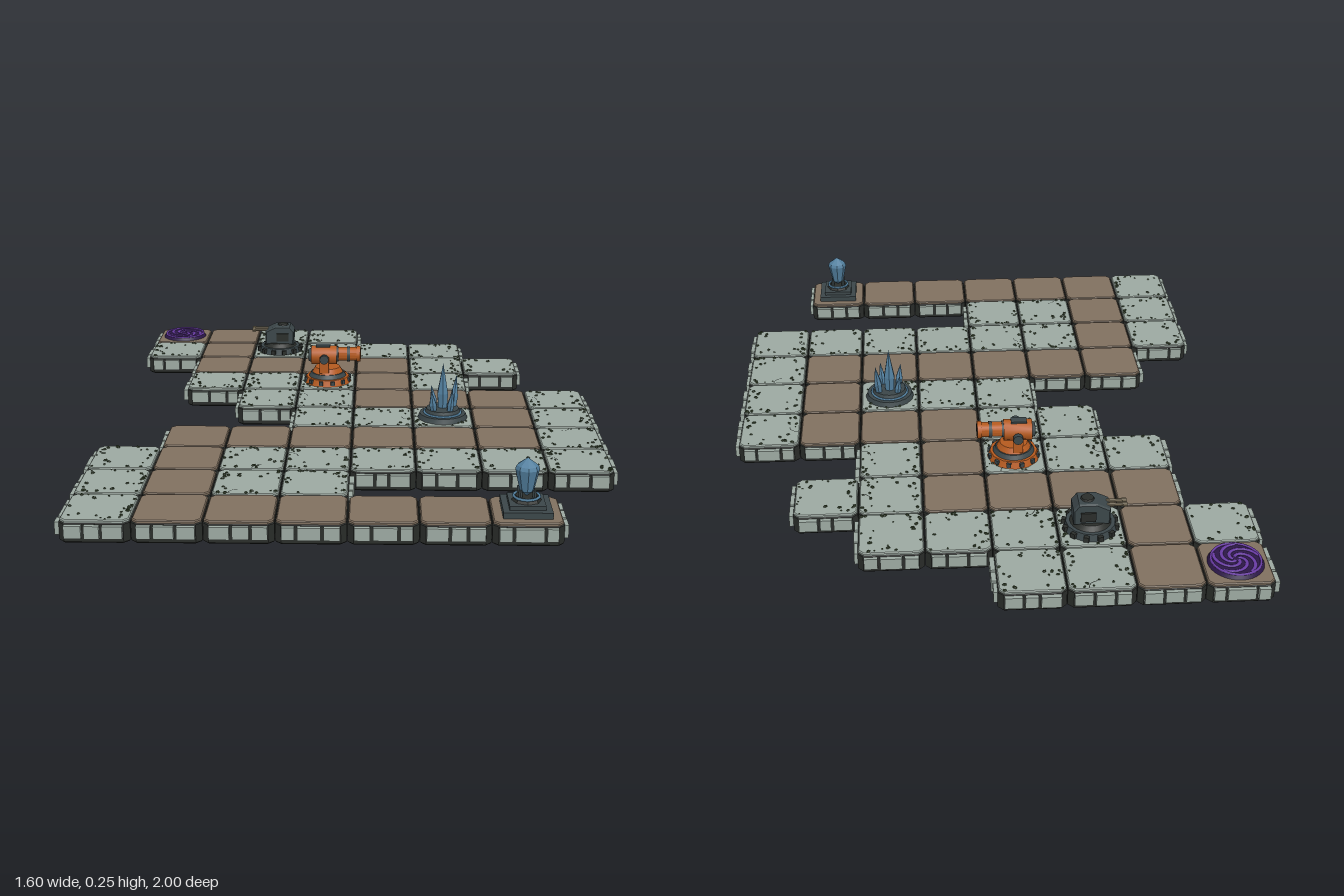
import * as THREE from 'three';
import { mergeGeometries, toCreasedNormals } from 'three/addons/utils/BufferGeometryUtils.js';

const P = 0.197, TOP = 0.067;
// s = stone tile, p = path tile, rows run from back to front
const MAP = ['ppss....', 'spssss..', '.ppppss.', '.sssps..', '..ssppps',
  '...sssps', '.pppppps', 'spssssss', 'spss....', 'spppppp.'];

const COLORS = {
  stone: 0x9ca9a1, path: 0x80705f, darkStone: 0x2a2d2a, moss: 0x35452a, metal: 0x3b4649,
  orange: 0xb55a1f, brass: 0x857960, crystal: 0x527f9e, purple: 0x6a3ca6, deepPurple: 0x2b1746,
};
const M = {};

let seed = 7;
const rnd = () => (seed = (seed * 16807) % 2147483647) / 2147483647;

function add(parent, name, geo, mat, x = 0, y = 0, z = 0) {
  const mesh = new THREE.Mesh(geo, mat);
  mesh.name = name;
  mesh.position.set(x, y, z);
  parent.add(mesh);
  return mesh;
}

const box = (w, h, d) => new THREE.BoxGeometry(w, h, d);

// Cylinder standing on its origin, with sharp edges
function drum(rTop, rBottom, h, sides = 24) {
  return toCreasedNormals(new THREE.CylinderGeometry(rTop, rBottom, h, sides).translate(0, h / 2, 0), 0.6);
}

// Cylinder lying along x, centred
function pipe(r, len, sides = 16, r2 = r) {
  return toCreasedNormals(new THREE.CylinderGeometry(r, r2, len, sides).rotateZ(-Math.PI / 2), 0.6);
}

// Square slab with chamfered corners and an optional bevel
function slab(half, cut, h, bevel) {
  const a = half - bevel, b = a - cut;
  const s = new THREE.Shape([[b, -a], [a, -b], [a, b], [b, a], [-b, a], [-a, b], [-a, -b], [-b, -a]]
    .map(([x, y]) => new THREE.Vector2(x, y)));
  const g = new THREE.ExtrudeGeometry(s, { depth: h - 2 * bevel, bevelEnabled: bevel > 0,
    bevelSize: bevel, bevelThickness: bevel, bevelSegments: 1 });
  return g.rotateX(-Math.PI / 2).translate(0, bevel, 0);
}

// Pointed facetted crystal from [radius, height] rings
function shard(rings, sides = 6) {
  const g = new THREE.LatheGeometry(rings.map(([r, y]) => new THREE.Vector2(r, y)), sides).toNonIndexed();
  g.computeVertexNormals();
  return g;
}

// Ring of equal parts around the vertical axis
function ring(geo, n, radius, y) {
  return mergeGeometries(Array.from({ length: n }, (_, i) =>
    geo.clone().translate(radius, y, 0).rotateY((i + 0.5) / n * Math.PI * 2)));
}

const at = (c, r) => [(c - 3.5) * P, (r - 4.5) * P];
const tile = (c, r) => (MAP[r] && MAP[r][c]) || '.';

function buildGround(g) {
  const bases = [], tops = { s: [], p: [] }, bricks = [], moss = [], cracks = [];
  const base = slab(0.0978, 0.014, 0.06, 0.004), top = slab(0.0955, 0.014, 0.012, 0.003);
  for (let r = 0; r < 10; r++) for (let c = 0; c < 8; c++) {
    const kind = tile(c, r);
    if (kind === '.') continue;
    const [x, z] = at(c, r);
    bases.push(base.clone().translate(x, 0, z));
    tops[kind].push(top.clone().translate(x, TOP - 0.012, z));
    // Bricks on open sides
    [[0, 1], [1, 0], [0, -1], [-1, 0]].forEach(([dx, dz], k) => {
      if (tile(c + dx, r + dz) !== '.') return;
      const cuts = [-0.084, -0.03 + (rnd() - 0.5) * 0.03, 0.03 + (rnd() - 0.5) * 0.03, 0.084];
      for (let i = 0; i < 3; i++) {
        const w = cuts[i + 1] - cuts[i] - 0.008, out = 0.012 + rnd() * 0.005;
        bricks.push(box(w, 0.037, out).translate((cuts[i] + cuts[i + 1]) / 2, 0.036, 0.096 + out / 2)
          .rotateY(k * Math.PI / 2).translate(x, 0, z));
      }
    });
    if (kind !== 's') continue;
    // Moss tufts clustered near the tile rim
    for (let i = 0; i < 24; i++) {
      const side = Math.floor(rnd() * 4) * Math.PI / 2, size = 0.0025 + rnd() * 0.004;
      const tuft = new THREE.IcosahedronGeometry(size, 0).scale(1.2, 0.9, 0.9).rotateY(rnd() * 3);
      moss.push(tuft.translate((rnd() - 0.5) * 0.17, TOP, 0.089 - rnd() * rnd() * 0.06)
        .rotateY(side).translate(x, 0, z));
    }
    // Curved crack on some tiles
    if (rnd() < 0.55) {
      const arc = new THREE.RingGeometry(0.026, 0.0285, 10, 1, 0, 1.6).rotateX(-Math.PI / 2);
      cracks.push(arc.translate(-0.09, TOP + 0.001, (rnd() - 0.5) * 0.06)
        .rotateY(Math.floor(rnd() * 4) * Math.PI / 2).translate(x, 0, z));
    }
  }
  add(g, 'tileBases', mergeGeometries(bases), M.darkStone);
  add(g, 'stoneTops', mergeGeometries(tops.s), M.stone);
  add(g, 'pathTops', mergeGeometries(tops.p), M.path);
  add(g, 'edgeBricks', mergeGeometries(bricks), M.stone);
  add(g, 'mossTufts', mergeGeometries(moss), M.moss);
  add(g, 'cracks', mergeGeometries(cracks), M.darkStone);
}

function station(g, name, c, r) {
  const s = new THREE.Group(), [x, z] = at(c, r);
  s.name = name;
  s.position.set(x, TOP, z);
  g.add(s);
  return s;
}

function buildPortal(s) {
  add(s, 'portalRim', drum(0.074, 0.082, 0.012, 32), M.deepPurple);
  const arms = [];
  for (let k = 0; k < 5; k++) {
    const pts = Array.from({ length: 12 }, (_, i) => {
      const a = k / 5 * Math.PI * 2 + i * 0.27, rad = 0.008 + i * 0.0055;
      return new THREE.Vector3(Math.cos(a) * rad, 0, Math.sin(a) * rad);
    });
    arms.push(new THREE.TubeGeometry(new THREE.CatmullRomCurve3(pts), 30, 0.0055, 6).scale(1, 0.5, 1));
  }
  add(s, 'portalSwirl', mergeGeometries(arms), M.purple, 0, 0.012, 0);
  add(s, 'portalRing', new THREE.TorusGeometry(0.072, 0.004, 6, 36).rotateX(Math.PI / 2), M.purple, 0, 0.012, 0);
}

function buildTurret(s) {
  add(s, 'turretBase', drum(0.074, 0.08, 0.022, 16), M.metal);
  add(s, 'turretBolts', ring(box(0.014, 0.016, 0.016), 12, 0.079, 0.01), M.darkStone);
  add(s, 'turretCollar', drum(0.05, 0.062, 0.014), M.darkStone, 0, 0.022, 0);
  // Angular armoured body with sloped roof edges
  const profile = new THREE.Shape([[-0.05, 0], [0.05, 0], [0.052, 0.045], [0.038, 0.063], [-0.014, 0.063], [-0.05, 0.045]]
    .map(([x, y]) => new THREE.Vector2(x, y)));
  const body = new THREE.ExtrudeGeometry(profile, { depth: 0.06, bevelSize: 0.004, bevelThickness: 0.006, bevelSegments: 1 });
  add(s, 'turretBody', body.translate(0, 0, -0.03), M.metal, 0, 0.034, 0);
  add(s, 'turretHatch', drum(0.018, 0.022, 0.008, 12), M.darkStone, 0.012, 0.098, 0);
  for (const d of [-1, 1]) {
    add(s, 'sidePlate', box(0.045, 0.03, 0.008), M.darkStone, 0.012, 0.06, d * 0.038);
    add(s, 'gunBarrel', pipe(0.006, 0.06, 10), M.brass, -0.075, 0.083, d * 0.01);
    add(s, 'barrelTip', pipe(0.008, 0.012, 10), M.brass, -0.098, 0.083, d * 0.01);
  }
}

function buildCannon(s) {
  add(s, 'cannonBase', drum(0.076, 0.084, 0.022, 12), M.orange);
  add(s, 'cannonBolts', ring(box(0.008, 0.014, 0.014), 12, 0.08, 0.012), M.metal);
  add(s, 'cannonCollar', drum(0.058, 0.066, 0.014), M.metal, 0, 0.022, 0);
  add(s, 'cannonPedestal', drum(0.044, 0.054, 0.018), M.orange, 0, 0.036, 0);
  add(s, 'cannonBody', pipe(0.034, 0.09, 12), M.orange, -0.012, 0.096, 0);
  add(s, 'cannonBreech', pipe(0.022, 0.014, 12, 0.028), M.metal, -0.06, 0.096, 0).rotation.y = Math.PI;
  add(s, 'cannonBarrel', pipe(0.024, 0.085), M.orange, 0.07, 0.1, 0);
  for (const x of [0.034, 0.075]) add(s, 'barrelBand', pipe(0.027, 0.01), M.metal, x, 0.1, 0);
  add(s, 'muzzle', pipe(0.028, 0.014), M.orange, 0.11, 0.1, 0);
  add(s, 'muzzleBore', pipe(0.02, 0.004), M.darkStone, 0.1165, 0.1, 0);
  add(s, 'bodyTopPlate', box(0.05, 0.006, 0.03), M.metal, -0.015, 0.13, 0);
  for (const d of [-1, 1]) {
    add(s, 'cradleArm', box(0.032, 0.055, 0.012), M.orange, -0.01, 0.07, d * 0.048);
    add(s, 'pivot', pipe(0.016, 0.016, 12).rotateY(Math.PI / 2), M.metal, -0.01, 0.094, d * 0.054);
  }
}

function buildCrystalTower(s) {
  add(s, 'clusterBase', drum(0.076, 0.082, 0.016, 16), M.metal);
  add(s, 'clusterStep', drum(0.054, 0.06, 0.016, 16), M.metal, 0, 0.016, 0);
  add(s, 'clusterRing', new THREE.TorusGeometry(0.06, 0.004, 6, 24).rotateX(Math.PI / 2), M.crystal, 0, 0.018, 0);
  // x, z, height, radius, lean x, lean z
  [[0, -0.008, 0.158, 0.02, 0, 0], [-0.03, 0.026, 0.08, 0.013, -0.12, 0.15], [0.035, -0.022, 0.112, 0.014, 0.1, -0.13],
    [0.022, 0.03, 0.085, 0.012, 0.1, 0.14], [-0.026, -0.03, 0.075, 0.012, -0.14, -0.12]].forEach(([x, z, h, r, lx, lz]) => {
    const m = add(s, 'crystalShard', shard([[r * 0.8, 0], [r, h * 0.35], [0, h]]), M.crystal, x, 0.025, z);
    m.rotation.set(lz, 0, -lx);
  });
}

function buildGoal(s) {
  add(s, 'plinth', box(0.136, 0.018, 0.136), M.metal, 0, 0.009, 0);
  add(s, 'plinthStep', box(0.1, 0.012, 0.1), M.metal, 0, 0.024, 0);
  add(s, 'pedestal', drum(0.032, 0.042, 0.014, 8), M.darkStone, 0, 0.03, 0);
  add(s, 'pedestalRing', new THREE.TorusGeometry(0.036, 0.004, 6, 16).rotateX(Math.PI / 2), M.crystal, 0, 0.042, 0);
  add(s, 'goalCrystal', shard([[0, 0], [0.02, 0.016], [0.034, 0.08], [0.03, 0.09], [0, 0.112]], 8), M.crystal, 0, 0.042, 0);
  add(s, 'claws', ring(box(0.008, 0.028, 0.008), 4, 0.027, 0.05), M.metal);
}

export function createModel() {
  for (const [name, color] of Object.entries(COLORS)) {
    M[name] = new THREE.MeshStandardMaterial({ color });
    M[name].name = name;
  }
  seed = 7;
  const g = new THREE.Group();
  g.name = 'tileBoard';
  buildGround(g);
  buildPortal(station(g, 'portal', 0, 0));
  buildTurret(station(g, 'gunTurret', 2, 1));
  buildCannon(station(g, 'cannon', 3, 3));
  buildCrystalTower(station(g, 'crystalCluster', 5, 5));
  buildGoal(station(g, 'goalCrystalStand', 6, 9));
  return g;
}
